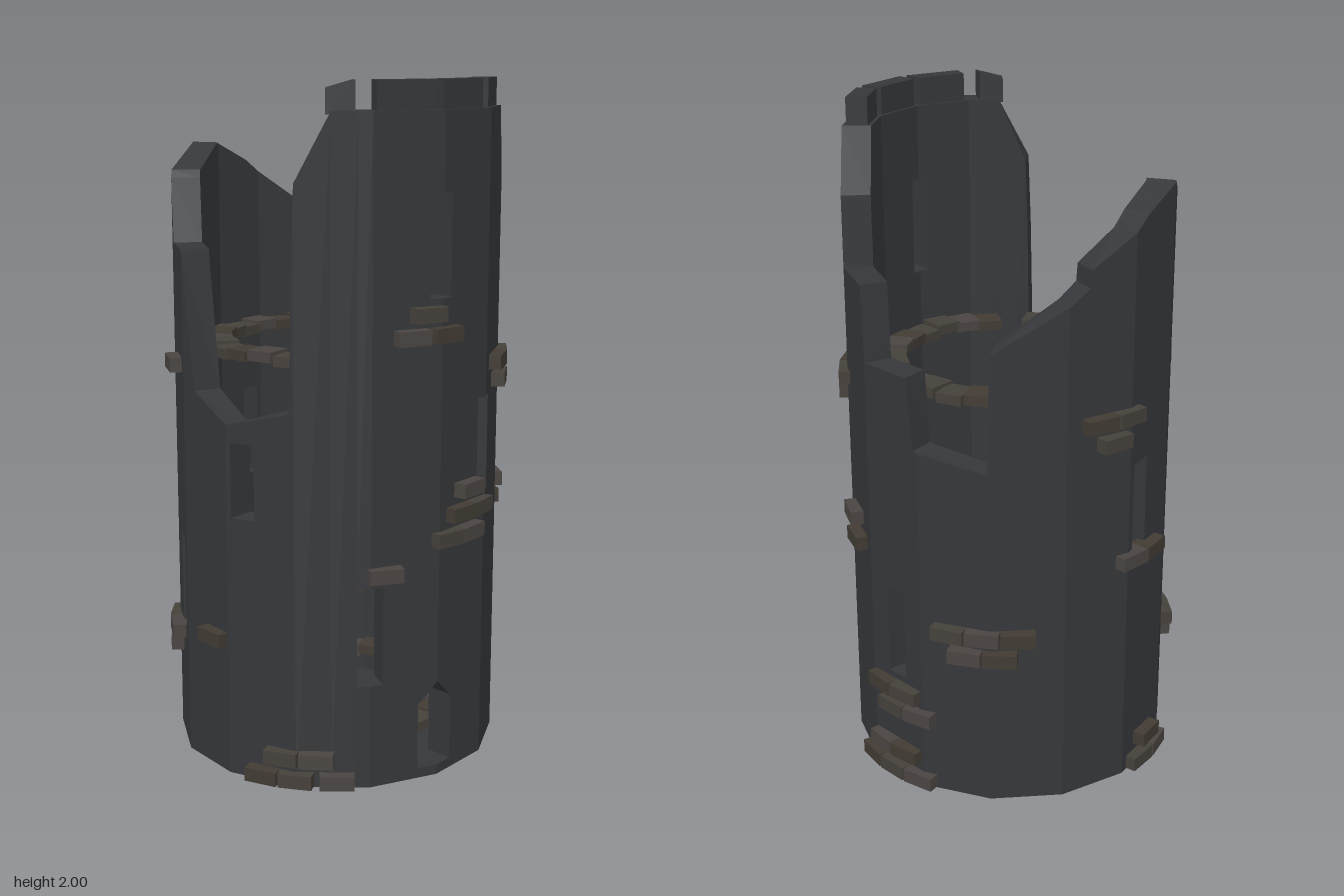
import * as THREE from 'three';

const SIDES = 14, STEP = 360 / SIDES, R_OUT = 0.485, R_IN = 0.4;
const rad = THREE.MathUtils.degToRad;

const mat = (color) => new THREE.MeshStandardMaterial({ color, flatShading: true });
const stone = mat(0x35373a);
const brickMats = [mat(0x45403a), mat(0x4a4541), mat(0x413b33)];

// Broken top edge: [degrees from +z towards +x, height]
const rim = [
  [0, 1.92], [46, 1.92], [51.4, 1.73], [52, 1.52], [74.5, 1.52], [77.5, 1.3], [98, 1.3],
  [101, 1.09], [128, 1.05], [128.8, 1.4], [155, 1.53], [162.5, 1.57], [163, 1.62],
  [188, 1.74], [207, 1.8], [231, 1.73], [235, 1.52], [257, 1.52], [264, 1.12],
  [283, 1.05], [307, 1.1], [308, 1.51], [309, 1.73], [321, 1.92], [360, 1.92],
];

// Openings, listed bottom up: centre angle, half width, sill, head at sides, head at centre
const win = (a, lo, hi) => ({ a, w: 4.5, lo, hi, peak: hi });
const door = (a) => ({ a, w: 7.4, lo: 0.03, hi: 0.23, peak: 0.29 });
const openings = [
  door(0), door(360), win(0, 1.41, 1.7), win(360, 1.41, 1.7),
  win(25.7, 0.82, 1.1), win(90, 0.34, 0.62), win(187, 0.74, 1.02),
  win(247, 0.37, 0.65), win(289, 0.78, 1.0), win(334.3, 0.31, 0.6),
];

// Point on a 14-sided ring
function ringPoint(r, deg, y) {
  const mid = (Math.floor(deg / STEP) + 0.5) * STEP;
  const rr = r * Math.cos(rad(STEP / 2)) / Math.cos(rad(deg - mid));
  return [rr * Math.sin(rad(deg)), y, rr * Math.cos(rad(deg))];
}

function rimHeight(deg) {
  const i = Math.max(1, rim.findIndex((p) => p[0] >= deg - 1e-6));
  const [a0, y0] = rim[i - 1], [a1, y1] = rim[i];
  return y0 + (y1 - y0) * (deg - a0) / (a1 - a0);
}

// Collects quads for curved masonry
class Masonry {
  constructor(rOut, rIn) { this.rOut = rOut; this.rIn = rIn; this.pos = []; }
  quad(a, b, c, d) { for (const p of [a, b, c, a, c, d]) this.pos.push(...p); }
  // Radial end face, dir = +1 faces increasing angle
  end(deg, lo, hi, dir) {
    const i0 = ringPoint(this.rIn, deg, lo), o0 = ringPoint(this.rOut, deg, lo);
    const o1 = ringPoint(this.rOut, deg, hi), i1 = ringPoint(this.rIn, deg, hi);
    if (dir < 0) this.quad(i0, o0, o1, i1); else this.quad(o0, i0, i1, o1);
  }
  // Slab between two angles, with bottom and top heights at each
  slab(a0, a1, [l0, l1], [h0, h1]) {
    const P = (r, a, y) => ringPoint(r, a, y), { rOut: o, rIn: i } = this;
    this.quad(P(o, a0, l0), P(o, a1, l1), P(o, a1, h1), P(o, a0, h0));
    this.quad(P(i, a1, l1), P(i, a0, l0), P(i, a0, h0), P(i, a1, h1));
    this.quad(P(o, a0, h0), P(o, a1, h1), P(i, a1, h1), P(i, a0, h0));
    this.quad(P(i, a0, l0), P(i, a1, l1), P(o, a1, l1), P(o, a0, l0));
  }
  mesh(name) {
    const g = new THREE.BufferGeometry();
    g.setAttribute('position', new THREE.Float32BufferAttribute(this.pos, 3));
    g.computeVertexNormals();
    const m = new THREE.Mesh(g, stone);
    m.name = name;
    return m;
  }
}

function buildWall() {
  // Columns break at facet corners, rim points and opening edges
  const cuts = rim.map((p) => p[0]);
  for (let i = 0; i <= SIDES; i++) cuts.push(i * STEP);
  for (const h of openings) cuts.push(h.a - h.w, h.a, h.a + h.w);
  const angles = cuts.filter((a) => a >= 0 && a <= 360).sort((a, b) => a - b)
    .filter((a, i, all) => i === 0 || a - all[i - 1] > 1e-6);

  const wall = new Masonry(R_OUT, R_IN);
  for (let i = 0; i < angles.length - 1; i++) {
    const a0 = angles[i], a1 = angles[i + 1], m = (a0 + a1) / 2;
    let base = [0, 0];
    for (const h of openings.filter((o) => Math.abs(m - o.a) < o.w)) {
      const head = (a) => h.peak + (h.hi - h.peak) * Math.abs(a - h.a) / h.w;
      wall.slab(a0, a1, base, [h.lo, h.lo]);
      base = [head(a0), head(a1)];
      if (Math.abs(a0 - h.a + h.w) < 1e-6) wall.end(a0, h.lo, base[0], 1);
      if (Math.abs(a1 - h.a - h.w) < 1e-6) wall.end(a1, h.lo, base[1], -1);
    }
    wall.slab(a0, a1, base, [rimHeight(a0), rimHeight(a1)]);
  }
  return wall.mesh('towerWall');
}

// Brick placed against a ring at an angle
function brick(name, deg, y, r, size, i) {
  const m = new THREE.Mesh(new THREE.BoxGeometry(...size), brickMats[i % 3]);
  m.position.set(r * Math.sin(rad(deg)), y, r * Math.cos(rad(deg)));
  m.rotation.y = rad(deg);
  m.name = name;
  return m;
}

// Exposed outer bricks: course height, then angles
const courses = [
  [1.37, -6], [1.31, -12, 1], [1.19, 37, 49], [1.13, 43],
  [0.85, 14], [0.785, 9.5, 20.5, 62], [0.72, 3, 14.5, 67], [0.64, -21],
  [0.3, 84, 96], [0.24, 90, 102], [0.095, 84, 96], [0.025, 78, 90, 102],
  [0.545, 114, 126, 138], [0.48, 120, 132],
  [1.18, 166, 178, 247], [1.115, 172], [0.73, 181, 193], [0.41, -84],
  [0.35, 231, 243], [0.29, 236], [0.09, 194, -56, -44], [0.025, 189, 201, -63, -51, -37],
];

export function createModel() {
  const tower = new THREE.Group();
  tower.name = 'ruinedTower';
  tower.add(buildWall());

  // Ground floor
  const floor = new THREE.Mesh(new THREE.CylinderGeometry(R_IN, R_IN, 0.02, SIDES), stone);
  floor.position.y = 0.01;
  floor.name = 'floor';
  tower.add(floor);

  // Remaining battlements
  for (const [a0, a1, h0, h1] of [[-41, -31, 1.98, 2], [-24, -2.5, 2, 2], [0.5, 23, 2, 2], [27, 46, 2, 2]]) {
    const b = new Masonry(0.472, 0.41);
    b.slab(a0, a1, [1.91, 1.91], [h0, h1]);
    b.end(a0, 1.91, h0, -1);
    b.end(a1, 1.91, h1, 1);
    tower.add(b.mesh('merlon'));
  }

  // Inner brick ledges that carried the upper floors
  const ledges = new THREE.Group();
  ledges.name = 'innerLedges';
  for (const y of [0.12, 0.585, 1.23]) {
    for (let k = 0; k < 28; k++) {
      if (k === 24) continue;
      const lift = ((k * 7) % 5 - 2) * 0.003;
      ledges.add(brick('ledgeBrick', (k + 0.5) * 360 / 28, y + lift, 0.352, [0.079, 0.03, 0.085], k * 2 + (k >> 2)));
    }
  }
  tower.add(ledges);

  // Bricks showing through the outer face
  const patches = new THREE.Group();
  patches.name = 'outerBricks';
  courses.forEach(([y, ...degs], c) => degs.forEach((d, i) =>
    patches.add(brick('outerBrick', d, y, 0.48, [0.1, 0.042, 0.06], c + i))));
  tower.add(patches);
  return tower;
}
